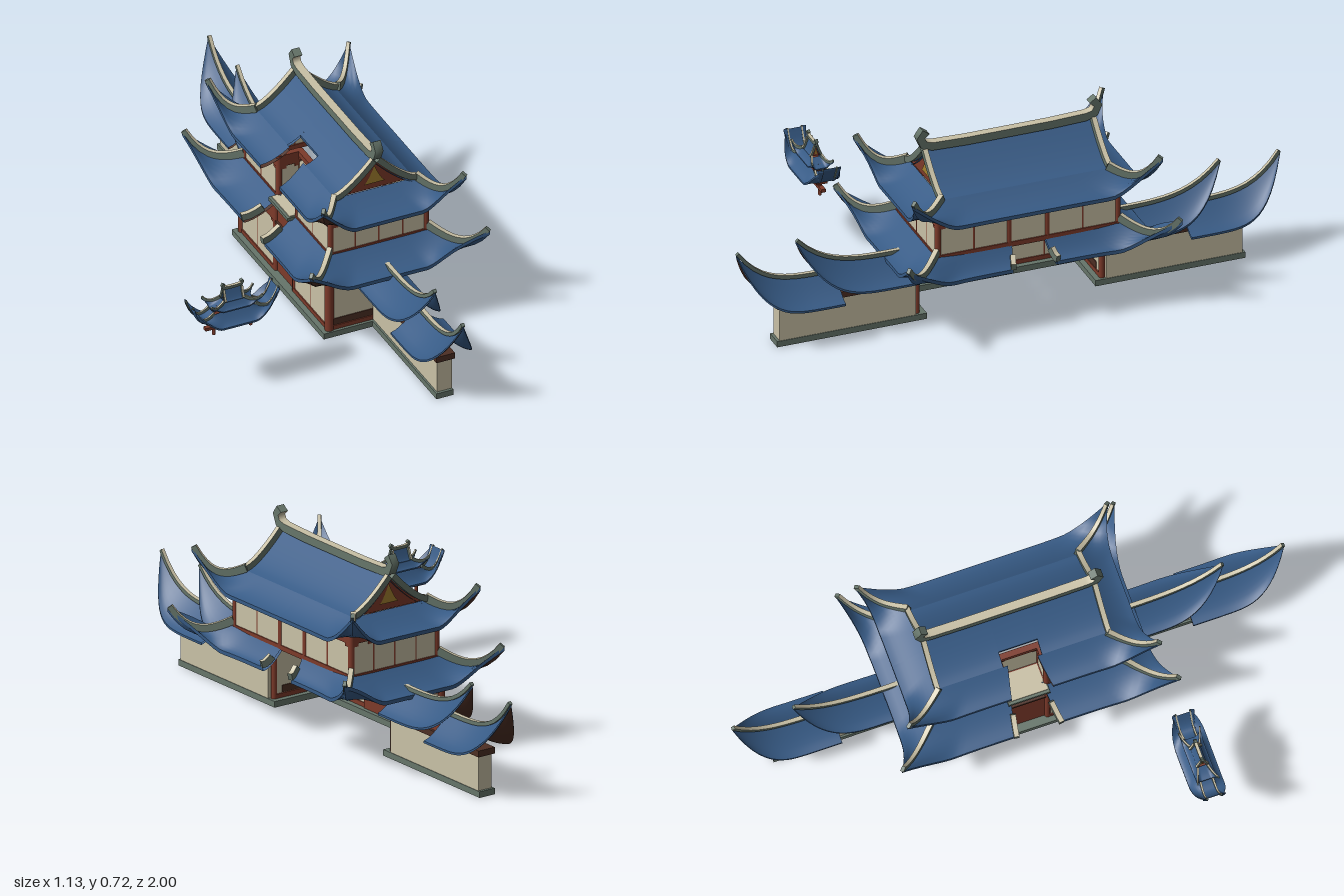
import * as THREE from 'three';

const paint = (name, color) => new THREE.MeshStandardMaterial({ name, color, side: THREE.DoubleSide });
const blue = paint('blue tile', 0x375b86);
const brown = paint('dark timber', 0x4d2f24);
const red = paint('red timber', 0x7d3a2a);
const plaster = paint('plaster', 0xc9c1a6);
const stone = paint('grey green stone', 0x66756a);
const gold = paint('gold', 0xa5812f);

const V = (x, y, z) => new THREE.Vector3(x, y, z);
const UP = V(0, 1, 0);

function add(parent, name, geo, mat, x = 0, y = 0, z = 0) {
  const m = new THREE.Mesh(geo, mat);
  m.name = name;
  m.position.set(x, y, z);
  parent.add(m);
  return m;
}
const box = (p, name, mat, x0, x1, y0, y1, z0, z1) =>
  add(p, name, new THREE.BoxGeometry(x1 - x0, y1 - y0, z1 - z0), mat, (x0 + x1) / 2, (y0 + y1) / 2, (z0 + z1) / 2);

// Smooth surface from a rule fn(u, v) -> Vector3
function grid(p, name, fn, nu, nv, mat) {
  const pos = [], idx = [];
  for (let i = 0; i <= nu; i++) for (let j = 0; j <= nv; j++) pos.push(...fn(i / nu, j / nv).toArray());
  for (let i = 0; i < nu; i++) for (let j = 0; j < nv; j++) {
    const a = i * (nv + 1) + j, b = a + nv + 1;
    idx.push(a, b, a + 1, b, b + 1, a + 1);
  }
  const g = new THREE.BufferGeometry();
  g.setAttribute('position', new THREE.Float32BufferAttribute(pos, 3));
  g.setIndex(idx);
  g.computeVertexNormals();
  return add(p, name, g, mat);
}

// Tiled sheet: blue top, chosen underside, blue eave edge at v = 1
function sheet(p, name, fn, nu, nv, t, under) {
  const low = (u, v) => fn(u, v).add(V(0, -t, 0));
  grid(p, name, fn, nu, nv, blue);
  grid(p, name + 'Underside', low, nu, nv, under);
  grid(p, name + 'Edge', (u, v) => fn(u, 1).add(V(0, -t * v, 0)), nu, 1, blue);
}

// Square rib swept along points: stone sides, pale top
function rib(p, name, pts, w, h, taper = 1) {
  const n = pts.length - 1;
  const side = UP.clone().cross(pts[n].clone().sub(pts[0])).normalize();
  const rings = pts.map((q, i) => {
    const t = pts[Math.min(i + 1, n)].clone().sub(pts[Math.max(i - 1, 0)]).normalize();
    const k = 1 + (taper - 1) * i / n;
    const s = side.clone().multiplyScalar(w / 2 * k), up = t.cross(side).normalize().multiplyScalar(h * k);
    return [q.clone().sub(s), q.clone().sub(s).add(up), q.clone().add(s).add(up), q.clone().add(s)];
  });
  for (let k = 0; k < 4; k++)
    grid(p, name, (u, v) => rings[Math.round(u * n)][(k + Math.round(v)) % 4].clone(), n, 1, k === 1 ? plaster : stone);
  for (const r of [rings[0], rings[n]])
    grid(p, name + 'End', (u, v) => (u ? (v ? r[2] : r[1]) : (v ? r[3] : r[0])).clone(), 1, 1, stone);
}

// Four-sided skirt roof with upswept corners; notch = half width of gaps in the listed x sides
function skirt(p, o) {
  const P = (axis, sg, s, v) => {
    const a = Math.abs(s), c = a ** 6, sx = axis === 'x' ? sg : Math.sign(s), k = sx < 0 ? 0 : 1;
    const ex = o.ox[k] + o.tx[k] * c, ez = o.oz + o.tz * c;
    const fx = axis === 'x' ? sg : s, fz = axis === 'x' ? s : sg;
    const from = axis === 'x' ? o.riseX : 0.5;
    const rise = axis === 'z' && o.boat ? 1 : Math.max(0, (a - from) / (1 - from)) ** 1.6;
    return V(fx * (o.ix + (ex - o.ix) * v),
      o.yi + (o.ye - o.yi) * (1 - Math.max(0, 1 - v) ** 1.6) + o.lift * rise * v ** 3,
      fz * (o.iz + (ez - o.iz) * v));
  };
  for (const axis of ['x', 'z']) for (const sg of [-1, 1]) {
    const n = axis === 'x' && o.gaps?.includes(sg) ? o.notch / o.oz : 0;
    for (const [a, b] of [[-1, -n], [n, 1]])
      sheet(p, 'skirtRoof', (u, v) => P(axis, sg, a + (b - a) * u, v), 16, 8, o.t,
        (axis === 'x' ? sg : a) < 0 ? o.under : blue);
    if (n && o.rims) for (const s of [-n, n])
      rib(p, 'gapRim', [0.45, 0.65, 0.85, 1.06].map(v => P(axis, sg, s, v)), o.rib, o.rib * 1.4);
  }
  for (const sx of [-1, 1]) for (const sz of [-1, 1])
    rib(p, 'hipRib', Array.from({ length: 11 }, (_, i) => P('x', sx, sz, i / 10)), o.rib, o.rib * 1.6, 0.7);
}

// Gabled top with ridge along z, curled ridge ends and ornamented gables
function gable(p, o) {
  const H = o.yr - o.yi;
  const slope = (sg, z, v) => V(sg * o.w * v, o.yi + H * (1 - v) ** 1.4, z);
  const outline = Array.from({ length: 17 }, (_, i) => slope(1, 0, Math.abs(i / 8 - 1)).setX(o.w * (i / 8 - 1)));
  const face = new THREE.ShapeGeometry(new THREE.Shape(outline.map(q => new THREE.Vector2(q.x, q.y - o.yi))));
  for (const sg of [-1, 1]) {
    const cut = sg < 0 && o.notch;
    const spans = cut ? [[-o.l, -o.notch, 1], [-o.notch, o.notch, 0.67], [o.notch, o.l, 1]] : [[-o.l, o.l, 1]];
    for (const [a, b, e] of spans)
      sheet(p, 'gableRoof', (u, v) => slope(sg, a + (b - a) * u, v * e), 2, 8, o.t, blue);
    for (const z of [-o.l, o.l])
      rib(p, 'bargeRib', Array.from({ length: 9 }, (_, i) => slope(sg, z, i / 8)), o.rib, o.rib * 1.2);
    // gable wall and its ornament
    const zg = sg * (o.l - o.rib * 0.7);
    add(p, 'gableWall', face, red, 0, o.yi, zg);
    add(p, 'gableOrnament', face, gold, 0, o.yi + H * 0.2, zg + sg * 0.004).scale.set(0.27, 0.6, 1);
  }
  const e = o.curl, half = [[o.l + e * 0.1, e], [o.l + e * 0.35, e * 0.65], [o.l + e * 0.15, e * 0.2], [o.l - e * 0.3, 0.05 * e], [o.l * 0.5, 0]];
  const path = [...half.map(([z, y]) => V(0, o.yr + y, -z)), ...half.reverse().map(([z, y]) => V(0, o.yr + y, z))];
  rib(p, 'ridge', path, o.ridge, o.ridge);
}

// Framed plaster wall between two ground points, with n bays
function wall(p, name, x0, z0, x1, z1, y0, y1, n, top = 0.045) {
  const g = new THREE.Group(), L = Math.hypot(x1 - x0, z1 - z0), h = L / 2;
  g.name = name;
  g.position.set((x0 + x1) / 2, 0, (z0 + z1) / 2);
  g.rotation.y = Math.atan2(z0 - z1, x1 - x0);
  p.add(g);
  box(g, 'plasterPanel', plaster, -h, h, y0, y1, -0.006, 0.006);
  box(g, 'topRail', red, -h, h, y1 - top, y1, -0.011, 0.011);
  box(g, 'bottomRail', red, -h, h, y0, y0 + 0.018, -0.01, 0.01);
  for (let i = 0; i <= n; i++) {
    const x = -h + L * i / n, r = i % n ? 0.007 : 0.011;
    add(g, 'post', new THREE.CylinderGeometry(r, r, y1 - y0, 10), red, x, (y0 + y1) / 2, 0);
    for (const s of [-1, 1]) if (Math.abs(x + s * 0.016) < h)
      box(g, 'postBracket', red, x + s * 0.012 - 0.012, x + s * 0.012 + 0.012, y1 - top - 0.012, y1 - top, -0.009, 0.009);
  }
}

// Coping roof of a side wall, running outward along dir to a raised pointed end
function coping(p, dir, z0, z1, ridge, eave, tip, w) {
  const at = (sg, t, v) => {
    const k = Math.max(0, (t - 0.4) / 0.6), hw = w * Math.max(0, 1 - k ** 2.6);
    const top = ridge + (tip - ridge) * t ** 4;
    const low = eave + (tip - eave) * t ** 5;
    return V(sg * hw * v, low + (top - low) * (1 - v) ** 1.5, dir * (z0 + (z1 - z0) * t));
  };
  for (const sg of [-1, 1]) sheet(p, 'copingRoof', (u, v) => at(sg, u, v), 20, 6, 0.008, sg < 0 ? brown : blue);
  rib(p, 'copingRidge', Array.from({ length: 13 }, (_, i) => at(1, i / 12, 0)), 0.016, 0.016, 0.8);
}

export function createModel() {
  const model = new THREE.Group();
  model.name = 'gatehouse';

  // Main roofs
  const roofs = new THREE.Group();
  roofs.name = 'mainRoofs';
  roofs.position.x = 0.22;
  model.add(roofs);
  skirt(roofs, { ix: 0.18, iz: 0.33, yi: 0.33, ox: [0.31, 0.25], oz: 0.455, ye: 0.255, tx: [0.03, 0.09], tz: 0.05,
    lift: 0.115, riseX: 0.66, t: 0.014, rib: 0.018, under: brown, notch: 0.08, gaps: [-1, 1], rims: true });
  skirt(roofs, { ix: 0.15, iz: 0.3, yi: 0.52, ox: [0.25, 0.25], oz: 0.42, ye: 0.463, tx: [0.022, 0.022], tz: 0.04,
    lift: 0.125, riseX: 0.66, t: 0.014, rib: 0.018, under: brown, notch: 0.075, gaps: [-1] });
  gable(roofs, { w: 0.15, l: 0.31, yi: 0.52, yr: 0.635, t: 0.01, rib: 0.018, notch: 0.07, curl: 0.088, ridge: 0.03 });

  // Upper storey with its recessed balcony
  const a = 0.31, b = 0.485;
  for (const s of [-1, 1]) {
    wall(model, 'upperEndWall', 0.04, s * 0.33, 0.4, s * 0.33, a, b, 4);
    wall(model, 'upperSideWall', 0.4, s * 0.07, 0.4, s * 0.33, a, b, 2);
    wall(model, 'upperSideWall', 0.04, s * 0.075, 0.04, s * 0.33, a, b, 2);
    wall(model, 'recessCheek', 0.04, s * 0.075, 0.12, s * 0.075, a, b, 1);
  }
  wall(model, 'upperMiddleWall', 0.4, -0.07, 0.4, 0.07, a, b, 1, 0.02);
  wall(model, 'recessWall', 0.12, -0.075, 0.12, 0.075, a, b, 1, 0.02);
  box(model, 'balconySlab', stone, 0, 0.12, 0.312, 0.324, -0.075, 0.075);
  box(model, 'balconyFloor', plaster, 0.01, 0.12, 0.324, 0.328, -0.07, 0.07);

  // Lower storey and door
  box(model, 'door', red, 0.03, 0.045, 0.02, 0.315, -0.075, 0.075);
  box(model, 'doorLintel', brown, 0.022, 0.053, 0.215, 0.225, -0.075, 0.075);
  box(model, 'facadeBase', stone, 0, 0.06, 0, 0.022, -0.36, 0.36);

  for (const s of [-1, 1]) {
    wall(model, 'facadeWall', 0.03, s * 0.075, 0.03, s * 0.34, 0.02, 0.3, 2, 0.075);
    wall(model, 'returnWall', 0.03, s * 0.34, 0.23, s * 0.34, 0.02, 0.29, 1, 0.085);
    box(model, 'returnDado', brown, 0.04, 0.2, 0.04, 0.065, s * 0.34 - 0.009, s * 0.34 + 0.009);
    add(model, 'cornerColumn', new THREE.CylinderGeometry(0.016, 0.016, 0.27, 12), red, 0.03, 0.155, s * 0.34);
    const span = (z0, z1) => (s > 0 ? [z0, z1] : [-z1, -z0]);
    box(model, 'returnBase', stone, 0, 0.25, 0, 0.022, ...span(0.31, 0.36));

    // Side walls with stepped copings
    box(model, 'sideWallBase', stone, 0.185, 0.25, 0, 0.022, ...span(0.36, 0.86));
    box(model, 'sideWall', plaster, 0.192, 0.248, 0.022, 0.155, ...span(0.35, 0.85));
    box(model, 'sideWallBeam', brown, 0.185, 0.255, 0.147, 0.17, ...span(0.35, 0.86));
    box(model, 'sideWallUpperBeam', red, 0.195, 0.245, 0.17, 0.215, ...span(0.35, 0.64));
    const wing = new THREE.Group();
    wing.name = 'wingRoof';
    wing.position.x = 0.22;
    model.add(wing);
    coping(wing, s, 0.36, 0.78, 0.26, 0.18, 0.378, 0.09);
    coping(wing, s, 0.635, 1, 0.235, 0.158, 0.37, 0.1);
  }

  // Small separate hanging roof, ridge turned across the front
  const mini = new THREE.Group();
  mini.name = 'smallGateRoof';
  mini.position.set(-0.4, 0, 0.47);
  mini.rotation.y = Math.PI / 2;
  model.add(mini);
  skirt(mini, { ix: 0.022, iz: 0.075, yi: 0.318, ox: [0.06, 0.06], oz: 0.158, ye: 0.277, tx: [-0.034, -0.034], tz: 0.008,
    lift: 0.09, riseX: 0.4, boat: true, t: 0.007, rib: 0.007, under: blue });
  box(mini, 'smallGateNeck', red, -0.022, 0.022, 0.3, 0.335, -0.06, 0.06);
  skirt(mini, { ix: 0.016, iz: 0.036, yi: 0.352, ox: [0.036, 0.036], oz: 0.08, ye: 0.328, tx: [0.003, 0.003], tz: 0.02,
    lift: 0.03, riseX: 0.6, t: 0.005, rib: 0.007, under: blue });
  gable(mini, { w: 0.018, l: 0.034, yi: 0.352, yr: 0.394, t: 0.004, rib: 0.007, curl: 0.026, ridge: 0.011 });
  box(mini, 'smallGateCore', red, -0.02, 0.02, 0.272, 0.305, -0.09, 0.09);
  box(mini, 'smallGateBeam', red, -0.008, 0.008, 0.247, 0.259, -0.104, 0.104);
  for (const z of [-0.07, 0.07])
    add(mini, 'smallGatePost', new THREE.CylinderGeometry(0.006, 0.006, 0.07, 10), red, 0, 0.257, z);

  return model;
}
